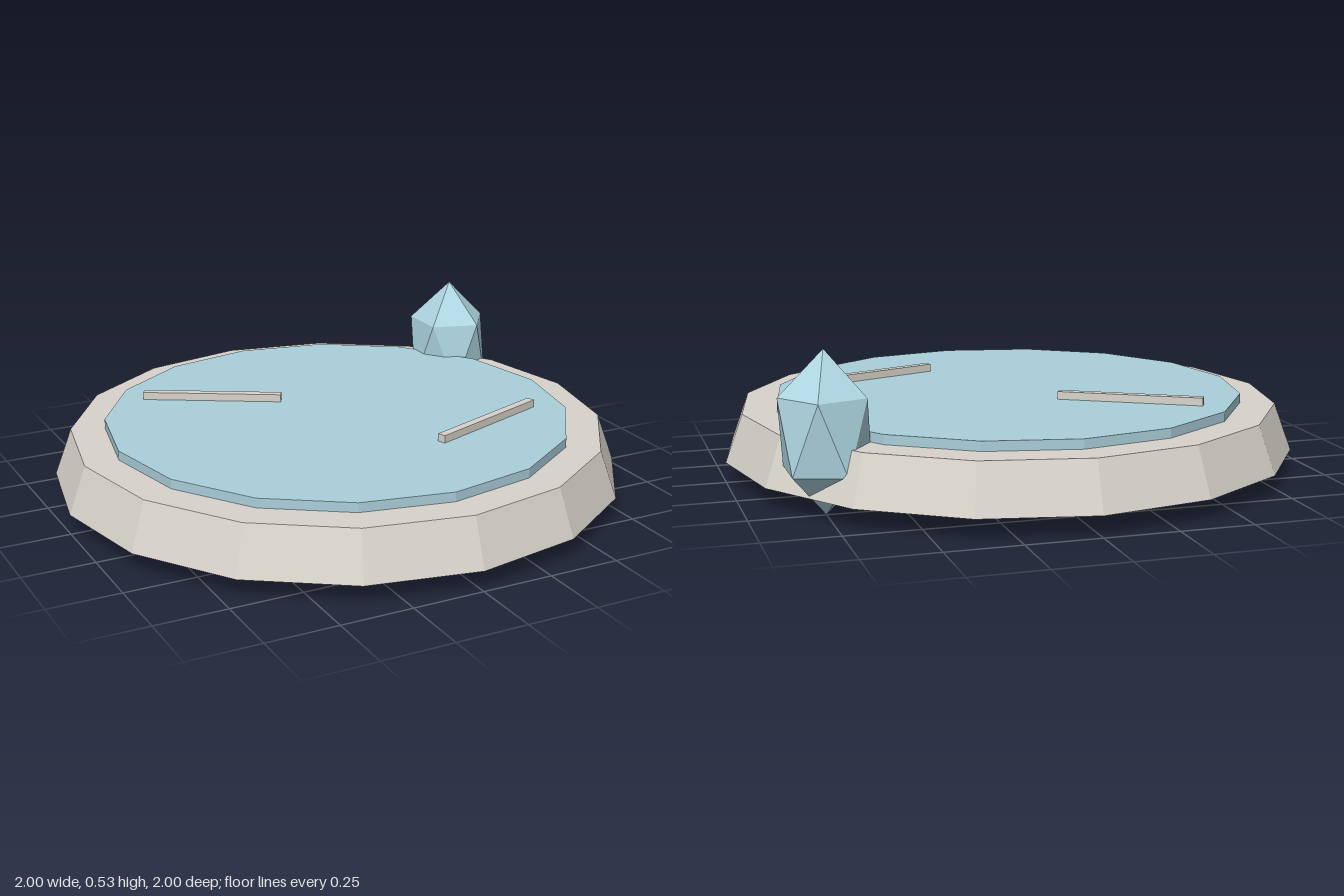
import * as THREE from 'three';

export function createModel() {
  const model = new THREE.Group();
  model.name = 'frozenPond';

  const material = (name, color) => {
    const m = new THREE.MeshStandardMaterial({ color, flatShading: true });
    m.name = name;
    return m;
  };
  const stone = material('pale stone', 0xd8d4cc);
  const ice = material('ice blue', 0xabcfdb);
  const crystalBlue = material('crystal blue', 0xafd6e2);

  const add = (name, geometry, mat, x, y, z) => {
    const mesh = new THREE.Mesh(geometry, mat);
    mesh.name = name;
    mesh.position.set(x, y, z);
    model.add(mesh);
    return mesh;
  };

  // Tapered stone rim and the ice slab set into it
  add('stoneBase', new THREE.CylinderGeometry(0.94, 1, 0.165, 16), stone, 0, 0.1525, 0);
  add('iceSurface', new THREE.CylinderGeometry(0.82, 0.82, 0.06, 16), ice, 0, 0.238, 0);

  // Thin raised bars lying on the ice: x, z, turn in degrees
  [[-0.337, -0.337, -30], [0.417, 0.333, 20]].forEach(([x, z, turn], i) => {
    const bar = add('iceRidge' + (i + 1), new THREE.BoxGeometry(0.5, 0.028, 0.03), stone, x, 0.281, z);
    bar.rotation.y = THREE.MathUtils.degToRad(turn);
  });

  // Crystal: an icosahedron stood on one point and stretched upward
  const golden = (1 + Math.sqrt(5)) / 2;
  const crystal = new THREE.IcosahedronGeometry(0.166, 0);
  crystal.rotateX(-Math.atan(golden));
  crystal.rotateY(Math.PI / 2);
  crystal.scale(1, 1.61, 1);
  add('iceCrystal', crystal, crystalBlue, 0.75, 0.268, -0.5);

  return model;
}
